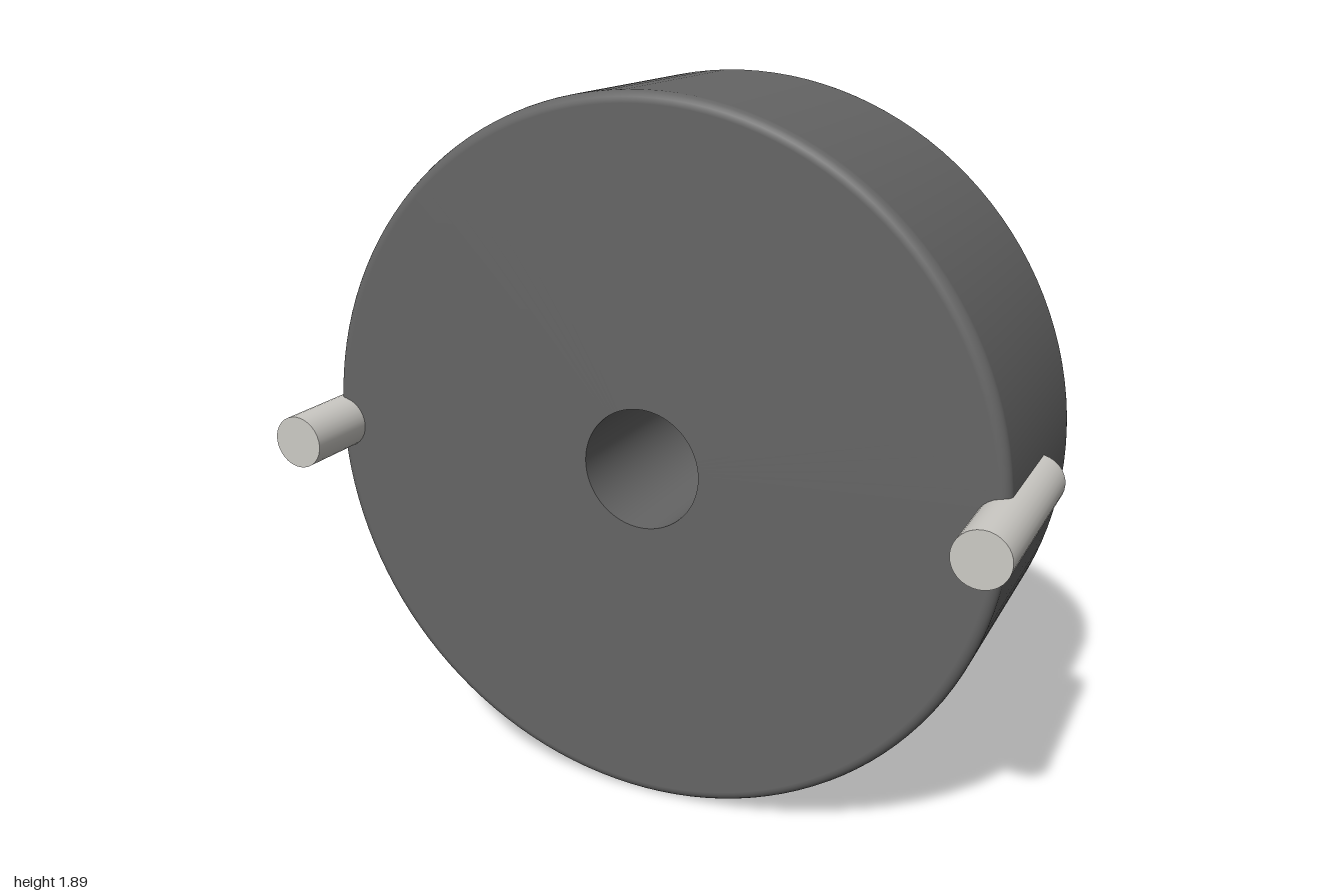
import * as THREE from 'three';

const R = 0.944, HOLE = 0.16, FRONT = 0.23, BACK = -0.43, FILLET = 0.03;

// Quarter-circle fillet points between two angles (degrees)
function arc(cx, cy, from, to, steps = 6) {
  return Array.from({ length: steps + 1 }, (_, i) => {
    const a = THREE.MathUtils.degToRad(from + ((to - from) * i) / steps);
    return new THREE.Vector2(cx + FILLET * Math.cos(a), cy + FILLET * Math.sin(a));
  });
}

export function createModel() {
  const model = new THREE.Group();
  model.name = 'buzzer';

  // Round housing: rounded rims, through hole rounded at the back and sharp at the front
  const profile = [
    ...arc(HOLE + FILLET, BACK + FILLET, 180, 270),
    ...arc(R - FILLET, BACK + FILLET, 270, 360),
    ...arc(R - FILLET, FRONT - FILLET, 0, 90),
    new THREE.Vector2(HOLE, FRONT),
    new THREE.Vector2(HOLE, FRONT), // repeated to keep this edge sharp
    new THREE.Vector2(HOLE, BACK + FILLET),
  ];
  const housing = new THREE.Mesh(
    new THREE.LatheGeometry(profile, 128).rotateX(Math.PI / 2),
    new THREE.MeshStandardMaterial({ color: 0x656565 })
  );
  housing.name = 'housing';
  housing.position.y = R;
  model.add(housing);

  // Two contact pins half sunk into the rim and sticking out at the front
  const pinMaterial = new THREE.MeshStandardMaterial({ color: 0xcccac5 });
  const pinGeometry = new THREE.CylinderGeometry(0.071, 0.071, 0.55, 32).rotateX(Math.PI / 2);
  for (const side of [1, -1]) {
    const pin = new THREE.Mesh(pinGeometry, pinMaterial);
    pin.name = side > 0 ? 'leftPin' : 'rightPin';
    pin.position.set(side * 0.929, R, 0.155);
    model.add(pin);
  }
  return model;
}
